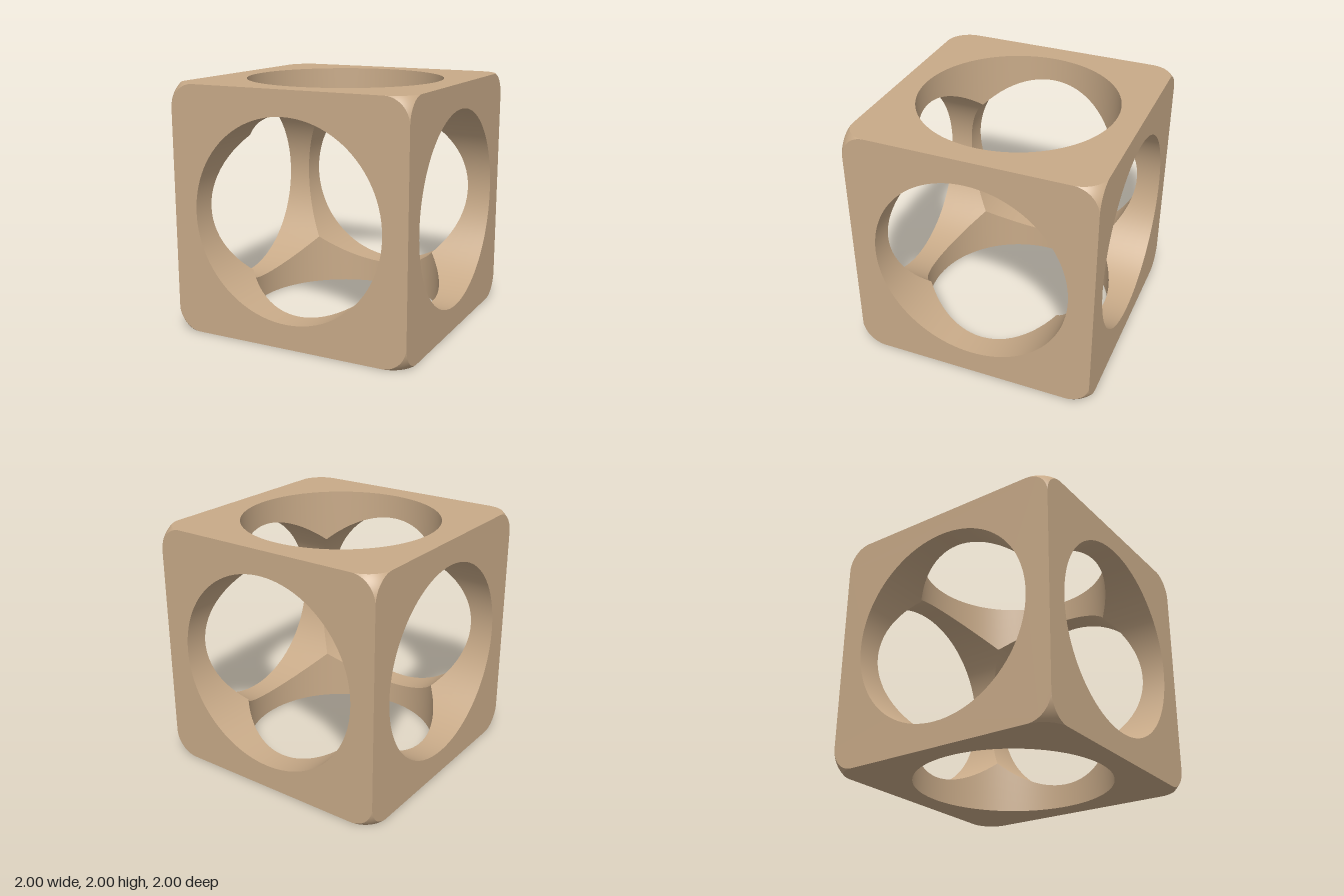
import * as THREE from 'three';
import { ParametricGeometry } from 'three/addons/geometries/ParametricGeometry.js';

const HALF = 1;       // half the cube's edge
const BORE = 0.8;     // radius of the three crossing bores
const CORNER = 0.2;   // radius of the face corners

// Square face with rounded corners and a round opening
function faceGeometry() {
  const s = new THREE.Shape();
  const c = HALF - CORNER;
  for (let i = 0; i < 4; i++) {
    const a = i * Math.PI / 2;
    const x = i === 0 || i === 3 ? c : -c;
    const y = i < 2 ? c : -c;
    s.absarc(x, y, CORNER, a, a + Math.PI / 2, false);
  }
  s.closePath();
  const hole = new THREE.Path();
  hole.absarc(0, 0, BORE, 0, Math.PI * 2, true);
  s.holes.push(hole);
  return new THREE.ShapeGeometry(s, 48).translate(0, 0, HALF);
}

// Bore wall from the face inward to where it meets the crossing bores
function boreGeometry() {
  return new ParametricGeometry((u, v, p) => {
    const a = -u * Math.PI * 2;
    const x = BORE * Math.cos(a), y = BORE * Math.sin(a);
    const inner = Math.sqrt(BORE * BORE - Math.min(x * x, y * y));
    p.set(x, y, inner + (HALF - inner) * v);
  }, 96, 4);
}

// Spherical corner patch, bounded by the rounded corners of three faces
function cornerGeometry() {
  const centre = new THREE.Vector3().setScalar(HALF - CORNER);
  const middle = new THREE.Vector3(1, 1, 1).normalize();
  const geo = new ParametricGeometry((u, v, p) => {
    const k = Math.min(2, Math.floor(u * 3 + 1e-9));
    const a = (u * 3 - k) * Math.PI / 2;
    const c = Math.cos(a), s = Math.sin(a);
    if (k === 0) p.set(c, s, 1);
    else if (k === 1) p.set(s, 1, c);
    else p.set(1, c, s);
    p.normalize().lerp(middle, 1 - v).normalize();
    p.multiplyScalar(CORNER * Math.SQRT2).add(centre);
  }, 48, 8);
  const pos = geo.attributes.position, n = new THREE.Vector3();
  for (let i = 0; i < pos.count; i++) {
    n.fromBufferAttribute(pos, i).sub(centre).normalize();
    geo.attributes.normal.setXYZ(i, n.x, n.y, n.z);
  }
  return geo;
}

export function createModel() {
  const model = new THREE.Group();
  model.name = 'hollowCube';
  const material = new THREE.MeshStandardMaterial({ color: 0xc8aa88 });
  const add = (name, geometry, rx, ry) => {
    const mesh = new THREE.Mesh(geometry, material);
    mesh.name = name;
    mesh.rotation.set(rx, ry, 0, 'YXZ');
    mesh.position.y = HALF;
    model.add(mesh);
  };
  const face = faceGeometry(), bore = boreGeometry(), corner = cornerGeometry();
  const q = Math.PI / 2;

  // Six pierced sides
  const sides = { front: [0, 0], left: [0, q], back: [0, 2 * q], right: [0, -q], top: [-q, 0], bottom: [q, 0] };
  for (const [name, [rx, ry]] of Object.entries(sides)) {
    add(name + 'Face', face, rx, ry);
    add(name + 'BoreWall', bore, rx, ry);
  }

  // Eight rounded corners
  for (let i = 0; i < 4; i++) {
    add('topCorner' + (i + 1), corner, 0, i * q);
    add('bottomCorner' + (i + 1), corner, q, i * q);
  }
  return model;
}
